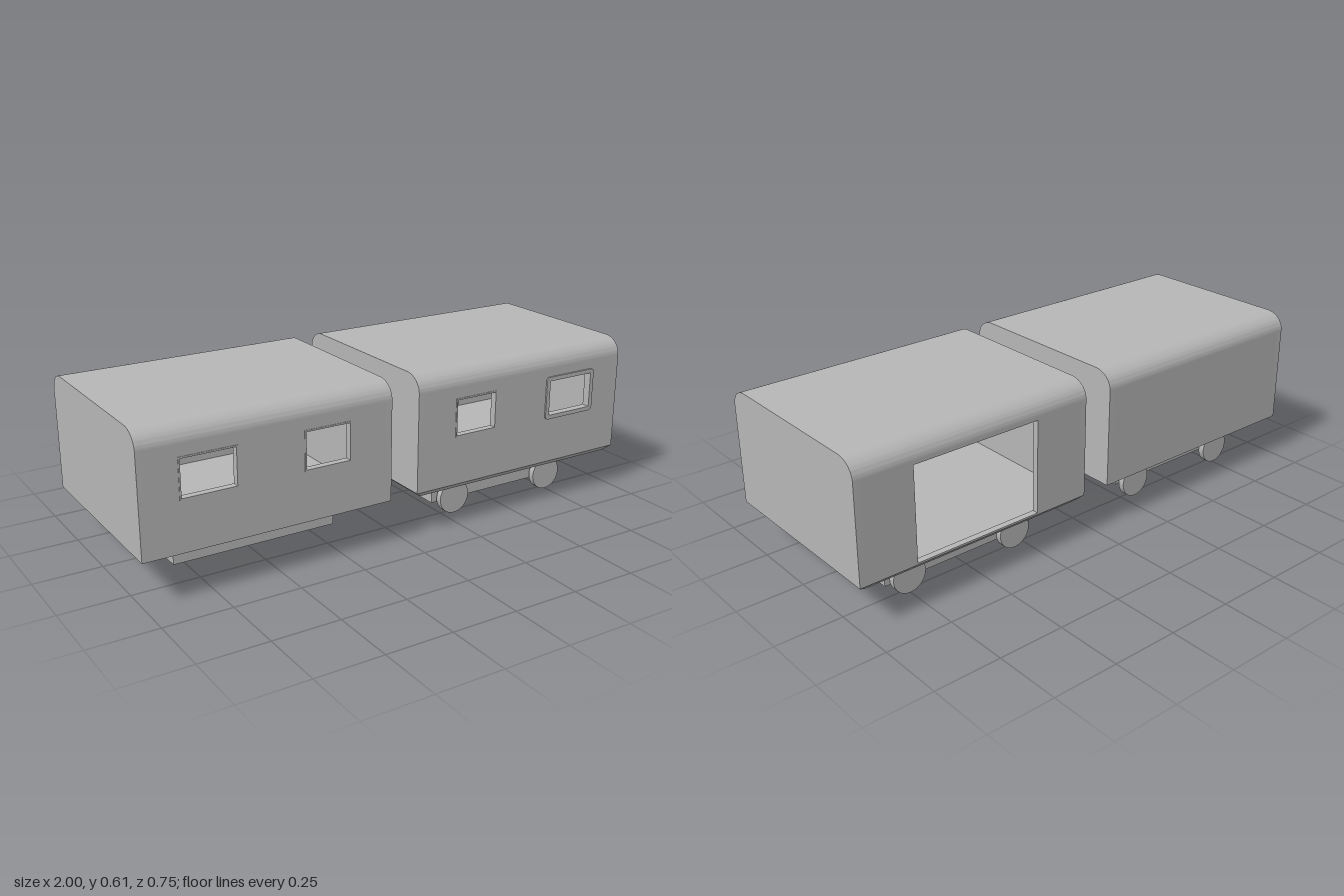
import * as THREE from 'three';
import { toCreasedNormals } from 'three/addons/utils/BufferGeometryUtils.js';

const grey = new THREE.MeshStandardMaterial({ color: 0xb6b6b6 });
grey.name = 'plain grey';

const HALF = 0.37, SILL = 0.165, EAVE = 0.54, TOP = 0.605, WALL = 0.025, CURVE = 0.075;

function add(group, name, geometry, x = 0, y = 0, z = 0) {
  const mesh = new THREE.Mesh(geometry, grey);
  mesh.name = name;
  mesh.position.set(x, y, z);
  group.add(mesh);
  return mesh;
}

function rectPath(PathType, [x0, x1, y0, y1], r = 0) {
  const p = new PathType();
  if (!r) {
    p.moveTo(x0, y0); p.lineTo(x1, y0); p.lineTo(x1, y1); p.lineTo(x0, y1);
  } else {
    p.moveTo(x0 + r, y0);
    p.absarc(x1 - r, y0 + r, r, -Math.PI / 2, 0);
    p.absarc(x1 - r, y1 - r, r, 0, Math.PI / 2);
    p.absarc(x0 + r, y1 - r, r, Math.PI / 2, Math.PI);
    p.absarc(x0 + r, y0 + r, r, Math.PI, Math.PI * 1.5);
  }
  p.closePath();
  return p;
}

const extrude = (shape, depth) => toCreasedNormals(
  new THREE.ExtrudeGeometry(shape, { depth, bevelEnabled: false, curveSegments: 10 }), 0.5);

// Extrudes a cross-section along the length of the carriage
const extrudeAlongX = (shape, length) => extrude(shape, length).rotateY(Math.PI / 2);

// Cross-section with rounded roof shoulders, starting at height y0
function sectionShape(y0) {
  const s = new THREE.Shape();
  s.moveTo(-HALF, y0);
  s.lineTo(HALF, y0);
  s.lineTo(HALF, EAVE);
  s.absellipse(HALF - CURVE, EAVE, CURVE, TOP - EAVE, 0, Math.PI / 2);
  s.absellipse(-HALF + CURVE, EAVE, CURVE, TOP - EAVE, Math.PI / 2, Math.PI);
  s.lineTo(-HALF, y0);
  return s;
}

// Hollow roof arch
function roofShape() {
  const s = sectionShape(EAVE);
  const h = HALF - WALL, inner = CURVE - WALL, rise = TOP - WALL - EAVE;
  const out = new THREE.Shape();
  out.setFromPoints(s.getPoints(10));
  const under = [];
  for (let i = 0; i <= 8; i++) {
    const a = (i / 8) * Math.PI / 2;
    under.push(new THREE.Vector2(-h + inner - inner * Math.cos(a), EAVE + rise * Math.sin(a)));
  }
  const mirrored = under.map(p => new THREE.Vector2(-p.x, p.y)).reverse();
  // outer arch from right to left, then the underside back from left to right
  const outer = s.getPoints(10).filter((p, i) => i > 0);
  const last = outer[outer.length - 1];
  if (last.y > EAVE) outer.push(new THREE.Vector2(-HALF, EAVE));
  out.setFromPoints([...outer, ...under, ...mirrored]);
  return out;
}

// Underfloor pan: stacked rectangles that narrow downwards
function panGeometry(x0, x1, levels) {
  const loops = levels.map(([y, dx, dz]) => [
    [x0 + dx, y, HALF - dz], [x1 - dx, y, HALF - dz],
    [x1 - dx, y, -HALF + dz], [x0 + dx, y, -HALF + dz]]);
  const v = [];
  const quad = (a, b, c, d) => [a, b, c, a, c, d].forEach(p => v.push(...p));
  quad(...loops[0]);
  for (let k = 0; k + 1 < loops.length; k++) {
    const up = loops[k], low = loops[k + 1];
    for (let i = 0; i < 4; i++) {
      const j = (i + 1) % 4;
      quad(low[i], low[j], up[j], up[i]);
    }
  }
  quad(...[...loops[loops.length - 1]].reverse());
  const g = new THREE.BufferGeometry();
  g.setAttribute('position', new THREE.Float32BufferAttribute(v, 3));
  g.computeVertexNormals();
  return g;
}

function sideWall(x0, x1, openings) {
  const shape = rectPath(THREE.Shape, [x0, x1, SILL, EAVE]);
  openings.forEach(o => shape.holes.push(rectPath(THREE.Path, o)));
  return extrude(shape, WALL);
}

function windowFrame([x0, x1, y0, y1], w, depth, radius) {
  const shape = rectPath(THREE.Shape, [x0 - w, x1 + w, y0 - w, y1 + w], radius);
  shape.holes.push(rectPath(THREE.Path, [x0, x1, y0, y1]));
  return extrude(shape, depth);
}

function carriage(name, o) {
  const car = new THREE.Group();
  car.name = name;
  const { x0, x1 } = o;

  // Hollow body
  add(car, 'roof', extrudeAlongX(roofShape(), x1 - x0 - 2 * WALL), x0 + WALL);
  add(car, 'endWallRight', extrudeAlongX(sectionShape(SILL), WALL), x0);
  add(car, 'endWallLeft', extrudeAlongX(sectionShape(SILL), WALL), x1 - WALL);
  add(car, 'frontWall', sideWall(x0 + WALL, x1 - WALL, o.windows.map(w => w.hole)), 0, 0, HALF - WALL);
  add(car, 'backWall', sideWall(x0 + WALL, x1 - WALL, o.doors), 0, 0, -HALF);
  add(car, 'floorPan', panGeometry(x0, x1, o.pan));

  // Window surrounds
  for (const w of o.windows) {
    add(car, 'windowFrame', windowFrame(w.hole, w.width, w.depth, w.radius), 0, 0, HALF);
  }

  // Chassis block and wheels
  const [cx0, cx1, cy0] = o.chassis, cy1 = 0.15;
  add(car, 'chassis', new THREE.BoxGeometry(cx1 - cx0, cy1 - cy0, 0.49),
    (cx0 + cx1) / 2, (cy0 + cy1) / 2, -0.005);
  for (const z of o.wheelZ) {
    for (const x of o.wheelX) {
      const wheel = new THREE.CylinderGeometry(0.065, 0.065, 0.024, 32).rotateX(Math.PI / 2);
      add(car, 'wheel', wheel, x, 0.065, z);
    }
  }
  return car;
}

export function createModel() {
  const model = new THREE.Group();
  model.name = 'twoCarriages';
  const slim = { width: 0.006, depth: 0.002, radius: 0 };

  model.add(carriage('rightCarriage', {
    x0: -1, x1: -0.058,
    windows: [
      { hole: [-0.855, -0.658, 0.355, 0.49], ...slim },
      { hole: [-0.4, -0.228, 0.355, 0.49], ...slim }],
    doors: [],
    pan: [[SILL, 0, 0], [0.157, 0.03, 0.025], [0.146, 0.3, 0.11]],
    chassis: [-0.84, -0.22, 0.065],
    wheelX: [-0.757, -0.305], wheelZ: [-0.261],
  }));

  model.add(carriage('leftCarriage', {
    x0: 0.055, x1: 1,
    windows: [
      { hole: [0.225, 0.397, 0.355, 0.49], ...slim },
      { hole: [0.655, 0.855, 0.355, 0.49], width: 0.016, depth: 0.006, radius: 0.014 }],
    doors: [[0.275, 0.78, 0.172, 0.525]],
    pan: [[SILL, 0, 0], [0.141, 0.03, 0.025], [0.13, 0.3, 0.11]],
    chassis: [0.215, 0.835, 0.046],
    wheelX: [0.298, 0.75], wheelZ: [0.26, -0.261],
  }));

  // Gangway plate joining the two carriages
  add(model, 'coupling', new THREE.BoxGeometry(0.12, 0.01, 0.275), 0, 0.168, 0);
  return model;
}
